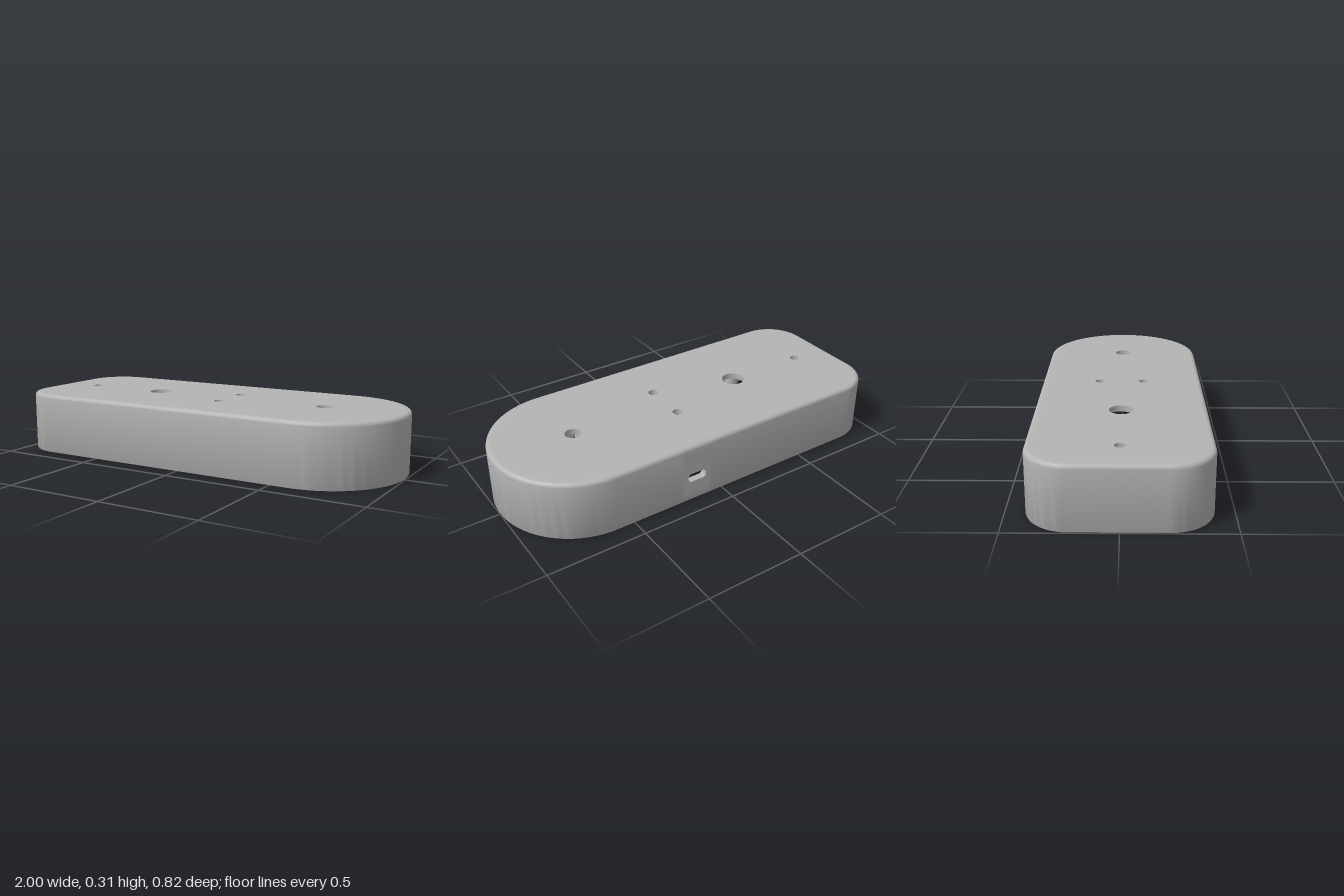
import * as THREE from 'three';
import { toCreasedNormals } from 'three/addons/utils/BufferGeometryUtils.js';

const TOP = 0.308, CEIL = 0.278, WALL = 0.035;
const SLOT = { x: 0.15, y: 0.13, w: 0.1, h: 0.045, x0: 0.07, x1: 0.23, y0: 0.05, y1: 0.26 };

// Plan outline as [x, z, normalX, normalZ], from one side of the slot round to the other
function outlinePoints() {
  const pts = [[SLOT.x0, -0.41, 0, -1]];
  const arc = (cx, cz, r, from, to, n) => {
    for (let i = 0; i <= n; i++) {
      const a = THREE.MathUtils.degToRad(from + (to - from) * i / n);
      const c = Math.cos(a), s = Math.sin(a);
      pts.push([cx + r * c, cz + r * s, c, s]);
    }
  };
  arc(-0.8, -0.21, 0.2, -90, -180, 16);
  arc(-0.8, 0.21, 0.2, -180, -270, 16);
  arc(0.59, 0, 0.41, -270, -450, 48);
  pts.push([SLOT.x1, -0.41, 0, -1]);
  return pts;
}

// Sweep a wall profile of [inset, y] points along the outline
function sweep(path, profile) {
  const pos = [];
  const at = (p, q) => [p[0] - p[2] * q[0], q[1], p[1] - p[3] * q[0]];
  for (let i = 0; i < path.length - 1; i++) {
    for (let j = 0; j < profile.length - 1; j++) {
      const a = at(path[i], profile[j]), b = at(path[i], profile[j + 1]);
      const c = at(path[i + 1], profile[j + 1]), d = at(path[i + 1], profile[j]);
      pos.push(...a, ...b, ...c, ...a, ...c, ...d);
    }
  }
  const g = new THREE.BufferGeometry();
  g.setAttribute('position', new THREE.Float32BufferAttribute(pos, 3));
  return toCreasedNormals(g, 0.5);
}

// Hollow round post hanging from the ceiling
function tube(outer, inner, bottom) {
  const pts = [[inner, CEIL], [inner, bottom], [outer, bottom], [outer, CEIL]];
  return toCreasedNormals(new THREE.LatheGeometry(pts.map(p => new THREE.Vector2(...p)), 32), 0.5);
}

export function createModel() {
  const group = new THREE.Group();
  const grey = new THREE.MeshStandardMaterial({ color: 0xb4b4b4 });
  grey.name = 'grey plastic';
  const add = (name, geometry, x = 0, y = 0, z = 0) => {
    const mesh = new THREE.Mesh(geometry, grey);
    mesh.name = name;
    mesh.position.set(x, y, z);
    group.add(mesh);
  };

  // Wall profile: rounded top edge, outer face, then stepped lip and inner face
  const path = outlinePoints();
  const upper = [[WALL, TOP]];
  const r = 0.02;
  for (let i = 0; i <= 6; i++) {
    const a = i / 6 * Math.PI / 2;
    upper.push([r - r * Math.sin(a), TOP - r + r * Math.cos(a)]);
  }
  const lower = [[0, 0.008], [0.003, 0.002], [0.008, 0], [0.018, 0], [0.018, 0.02], [WALL, 0.02]];
  add('sideWall', sweep(path, [...upper, ...lower, [WALL, CEIL]]));

  // Short wall section around the slot
  const gap = [path[path.length - 1], path[0]];
  add('slotWallTop', sweep(gap, [...upper, [0, SLOT.y1]]));
  add('slotWallBottom', sweep(gap, [[0, SLOT.y0], ...lower, [WALL, SLOT.y0]]));
  add('slotWallInnerTop', sweep(gap, [[WALL, SLOT.y1], [WALL, CEIL]]));
  const panel = new THREE.Shape([
    [SLOT.x0, SLOT.y0], [SLOT.x1, SLOT.y0], [SLOT.x1, SLOT.y1], [SLOT.x0, SLOT.y1],
  ].map(p => new THREE.Vector2(...p)));
  const slot = new THREE.Path();
  const sr = 0.018, hx = SLOT.w / 2 - sr, hy = SLOT.h / 2 - sr;
  slot.absarc(SLOT.x + hx, SLOT.y + hy, sr, 0, Math.PI / 2);
  slot.absarc(SLOT.x - hx, SLOT.y + hy, sr, Math.PI / 2, Math.PI);
  slot.absarc(SLOT.x - hx, SLOT.y - hy, sr, Math.PI, Math.PI * 1.5);
  slot.absarc(SLOT.x + hx, SLOT.y - hy, sr, Math.PI * 1.5, Math.PI * 2);
  slot.closePath();
  panel.holes.push(slot);
  add('slotPanel', new THREE.ExtrudeGeometry(panel, { depth: WALL, bevelEnabled: false, curveSegments: 8 }), 0, 0, -0.41);

  // Top plate with its round holes
  const plate = new THREE.Shape(path.map(p => new THREE.Vector2(p[0] - p[2] * WALL, -(p[1] - p[3] * WALL))));
  const holes = [[-0.795, 0, 0.025], [-0.365, 0, 0.058], [0.065, 0.113, 0.025], [0.065, -0.113, 0.025], [0.59, 0, 0.04]];
  for (const [x, z, radius] of holes) {
    plate.holes.push(new THREE.Path().absarc(x, -z, radius, 0, Math.PI * 2, true));
  }
  const plateGeo = new THREE.ExtrudeGeometry(plate, { depth: TOP - CEIL, bevelEnabled: false, curveSegments: 32 });
  plateGeo.rotateX(-Math.PI / 2);
  add('topPlate', toCreasedNormals(plateGeo, 0.5), 0, CEIL, 0);

  // Four screw posts
  for (const x of [-0.6, 0.39]) {
    for (const z of [-0.315, 0.315]) add('screwPost', tube(0.038, 0.016, 0.035), x, 0, z);
  }

  // Short bosses under two of the small holes, and a pair of tabs beside the third
  add('endBoss', tube(0.066, 0.025, 0.215), -0.795, 0, 0);
  add('middleBoss', tube(0.066, 0.025, 0.215), 0.065, 0, 0.113);
  for (const side of [-1, 1]) {
    add('holeTab', new THREE.BoxGeometry(0.035, CEIL - 0.21, 0.06), 0.065 + side * 0.05, (CEIL + 0.21) / 2, -0.113);
  }
  return group;
}
